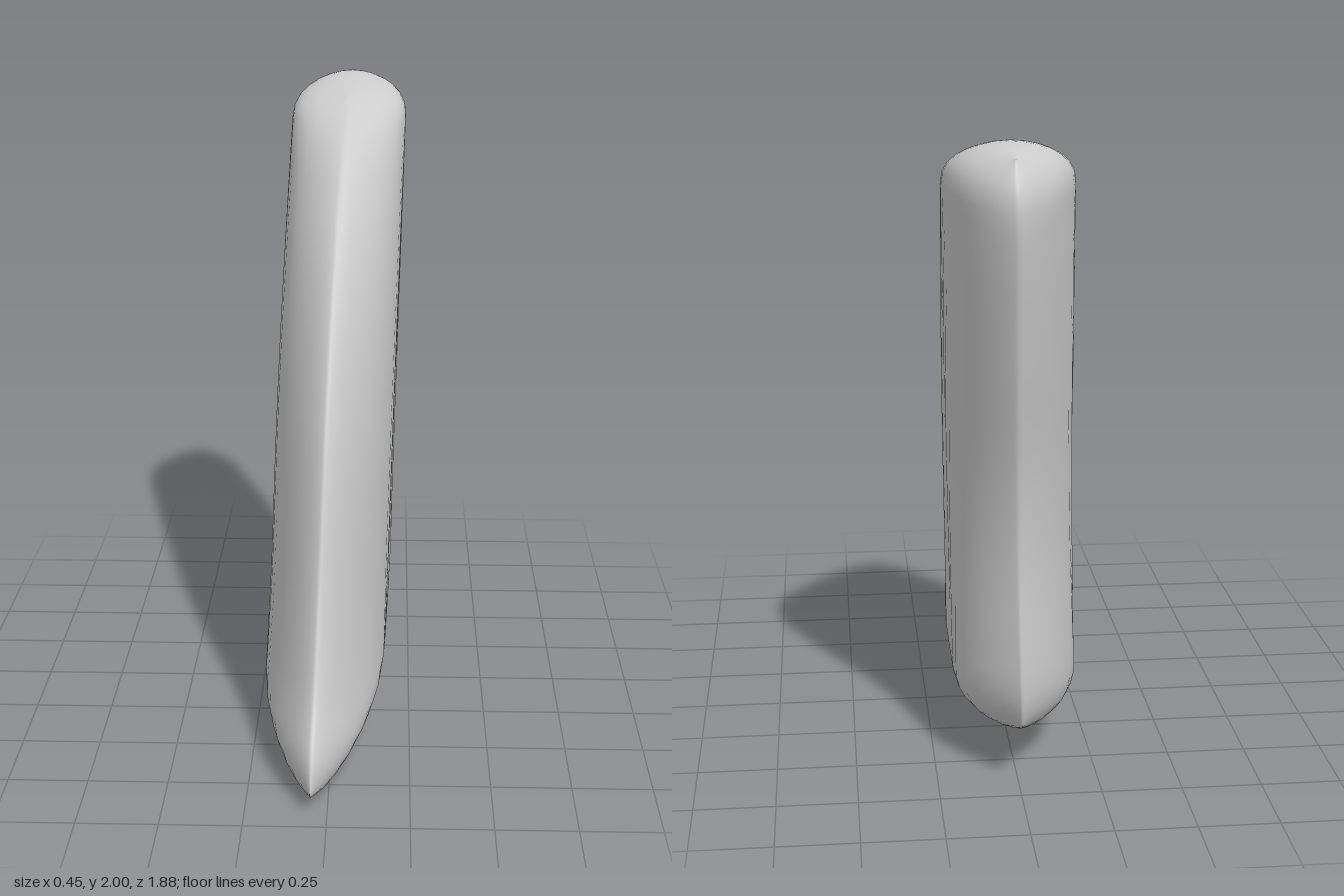
import * as THREE from 'three';
import { mergeVertices } from 'three/addons/utils/BufferGeometryUtils.js';

const curve = (pts) => new THREE.SplineCurve(pts.map(([z, y]) => new THREE.Vector2(z, y)));

// Side outline as four edges, points are (z, y)
const front = curve([[0.94, 0.06], [0.9, 0.17], [0.8, 0.3], [0.72, 0.45], [0.64, 0.62], [0.57, 0.8],
  [0.48, 1.02], [0.35, 1.25], [0.19, 1.46], [0, 1.65], [-0.22, 1.83], [-0.46, 1.95]]);
const back = curve([[-0.72, 0.21], [-0.75, 0.35], [-0.73, 0.7], [-0.74, 0.9], [-0.77, 1.08],
  [-0.85, 1.4], [-0.92, 1.7], [-0.935, 1.86], [-0.88, 1.97]]);
const bottom = curve([[0.94, 0.06], [0.72, 0], [0.14, 0.03], [-0.46, 0.11], [-0.72, 0.21]]);
const top = curve([[-0.46, 1.95], [-0.7, 2], [-0.88, 1.97]]);

// Rise from 0 at an edge to 1 at the given depth: power 0.5 is round, 1 is a wedge
const rise = (distance, depth, power) => {
  const u = 1 - Math.min(distance / depth, 1);
  return Math.max(0, 1 - u * u) ** power;
};
// Sample spacing that is denser near both ends
const ease = (k) => (1 - Math.cos(Math.PI * k)) / 2;

function finGeometry(rows, cols) {
  const positions = [];
  const index = [];
  const ring = cols * 2;
  const corners = [front.getPoint(0), back.getPoint(0), front.getPoint(1), back.getPoint(1)];
  for (let i = 0; i <= rows; i++) {
    const t = ease(i / rows);
    const f = front.getPointAt(t);
    const b = back.getPointAt(t);
    const width = f.distanceTo(b);
    for (let j = 0; j < ring; j++) {
      const side = j <= cols ? 1 : -1;
      const s = ease((j <= cols ? j : ring - j) / cols);
      const lo = bottom.getPointAt(s);
      const hi = top.getPointAt(s);
      const height = lo.distanceTo(hi);
      // Blend the four edges into one patch
      const blend = (k) => (1 - s) * f[k] + s * b[k] + (1 - t) * lo[k] + t * hi[k]
        - (1 - t) * ((1 - s) * corners[0][k] + s * corners[1][k])
        - t * ((1 - s) * corners[2][k] + s * corners[3][k]);
      const z = blend('x');
      const y = blend('y');
      const half = 0.196
        * rise(s * width, Math.min(0.65, width * 0.46), 0.72)
        * rise((1 - s) * width, Math.min(0.38, width * 0.54), 0.95 - 0.25 * t)
        * rise(t * height, 0.2, 0.5)
        * rise((1 - t) * height, 0.18, 0.5);
      // The fin is turned slightly and leans a little to its left
      positions.push(side * half - 0.025 * z + 0.022 * y - 0.028, y, z);
    }
  }
  for (let i = 0; i < rows; i++) {
    for (let j = 0; j < ring; j++) {
      const a = i * ring + j;
      const b = i * ring + (j + 1) % ring;
      index.push(a, b, b + ring, a, b + ring, a + ring);
    }
  }
  const geometry = new THREE.BufferGeometry();
  geometry.setAttribute('position', new THREE.Float32BufferAttribute(positions, 3));
  geometry.setIndex(index);
  const merged = mergeVertices(geometry, 1e-4);
  merged.computeVertexNormals();
  return merged;
}

export function createModel() {
  const group = new THREE.Group();
  const fin = new THREE.Mesh(finGeometry(36, 24), new THREE.MeshStandardMaterial({ color: 0xcccccc }));
  fin.name = 'fin';
  group.add(fin);
  return group;
}
